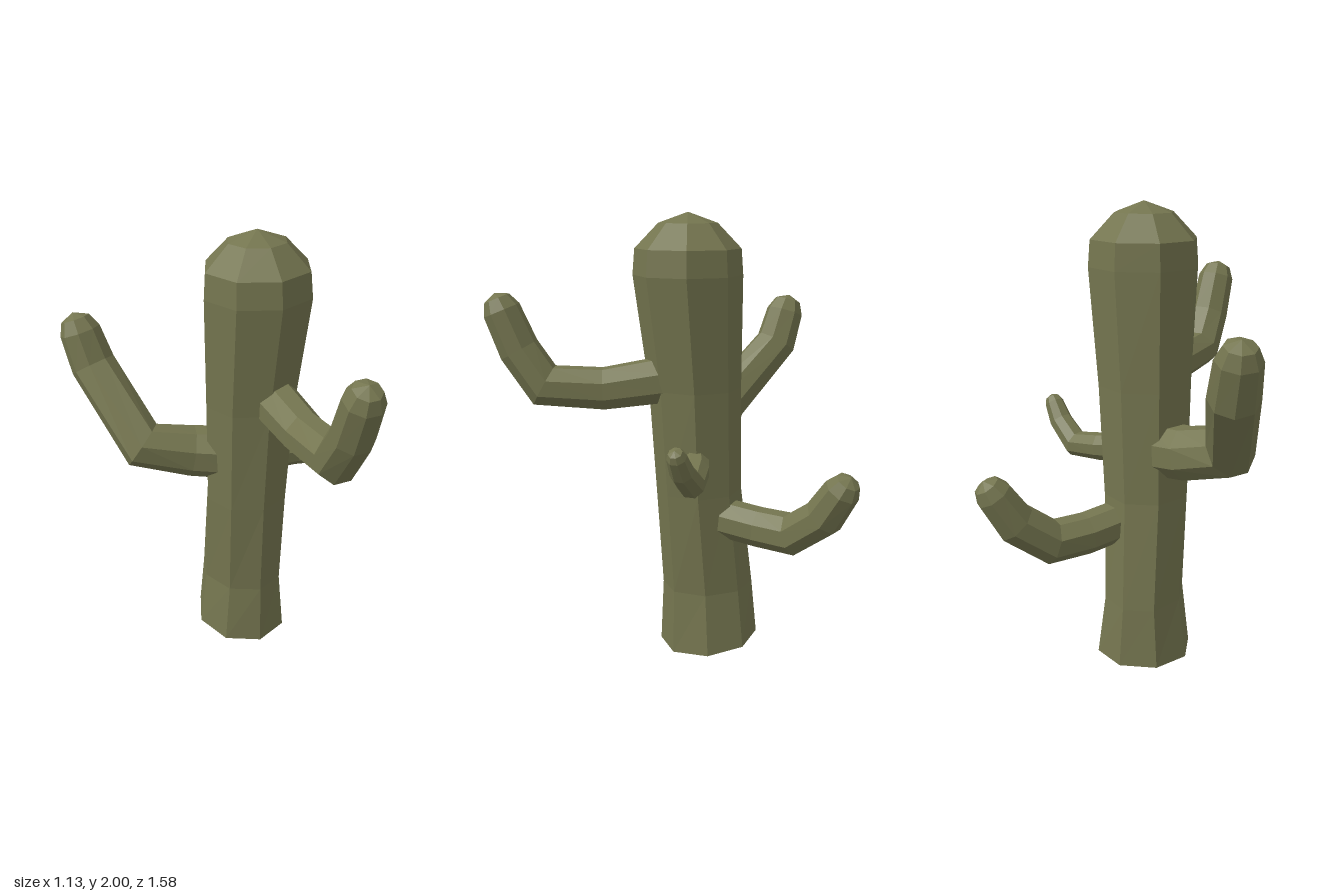
import * as THREE from 'three';

const SIDES = 8;
const V = (x, y, z) => new THREE.Vector3(x, y, z);
const material = new THREE.MeshStandardMaterial({ color: 0x74754f, flatShading: true });

// Skins a list of rings, closing the start with a flat cap and the end with an apex
function skin(rings, start, apex, name) {
  const points = [...rings.flat(), start, apex];
  const index = [];
  const iStart = points.length - 2, iApex = points.length - 1;
  const last = (rings.length - 1) * SIDES;
  for (let i = 0; i < SIDES; i++) {
    const j = (i + 1) % SIDES;
    for (let r = 0; r < last; r += SIDES) {
      const a = r + i, b = r + j, c = b + SIDES, d = a + SIDES;
      index.push(a, b, c, a, c, d);
    }
    index.push(iStart, j, i, last + i, last + j, iApex);
  }
  const geometry = new THREE.BufferGeometry().setFromPoints(points);
  geometry.setIndex(index);
  const flat = geometry.toNonIndexed();
  flat.computeVertexNormals();
  const mesh = new THREE.Mesh(flat, material);
  mesh.name = name;
  return mesh;
}

// Leaning trunk: each level is [centre x, y, centre z, radius x, radius z, tilt toward the back]
function makeTrunk() {
  const levels = [
    [-0.03, 0.02, -0.18, 0.213, 0.23, -0.09],
    [-0.03, 0.3, -0.172, 0.176, 0.212, 0],
    [-0.03, 0.77, -0.125, 0.188, 0.195, 0],
    [-0.02, 1.25, -0.1, 0.205, 0.205, 0],
    [-0.005, 1.74, -0.06, 0.237, 0.237, 0],
    [-0.005, 1.85, -0.06, 0.228, 0.228, 0],
    [-0.005, 1.955, -0.06, 0.126, 0.126, 0],
  ];
  const rings = levels.map(([x, y, z, rx, rz, tilt]) =>
    Array.from({ length: SIDES }, (_, i) => {
      const a = (27.5 * Math.PI) / 180 + (i / SIDES) * Math.PI * 2;
      const dz = rz * Math.cos(a);
      return V(x + rx * Math.sin(a), y + tilt * dz, z + dz);
    }));
  return skin(rings, V(-0.03, 0.02, -0.18), V(-0.005, 2, -0.06), 'trunk');
}

// Bent arm: stations are [x, y, z, radius], finished with a rounded tip
function makeArm(name, stations) {
  const path = stations.map(([x, y, z]) => V(x, y, z));
  const radii = stations.map((s) => s[3]);
  const n = path.length;
  const end = path[n - 1], endRadius = radii[n - 1];
  const tip = end.clone().sub(path[n - 2]).normalize();
  const centres = [...path, end.clone().addScaledVector(tip, endRadius * 0.65)];
  radii.push(endRadius * 0.7);

  // Keep the cross-section from twisting as the arm turns
  const side = V(0, 1, 0);
  const rings = centres.map((c, k) => {
    const into = k > 0 ? c.clone().sub(centres[k - 1]).normalize() : V(0, 0, 0);
    const out = k < n ? centres[k + 1].clone().sub(c).normalize() : V(0, 0, 0);
    const t = into.add(out).normalize();
    side.addScaledVector(t, -side.dot(t)).normalize();
    const u = side.clone();
    const v = t.clone().cross(u);
    return Array.from({ length: SIDES }, (_, i) => {
      const a = ((i + 0.5) / SIDES) * Math.PI * 2;
      return c.clone()
        .addScaledVector(u, radii[k] * Math.cos(a))
        .addScaledVector(v, radii[k] * Math.sin(a));
    });
  });
  return skin(rings, path[0], end.clone().addScaledVector(tip, endRadius * 0.95), name);
}

export function createModel() {
  const group = new THREE.Group();
  group.name = 'cactus';
  group.add(makeTrunk());

  group.add(makeArm('frontArm', [
    [-0.01, 1.29, 0.04, 0.105],
    [-0.08, 1.25, 0.3, 0.095],
    [-0.15, 1.265, 0.55, 0.1],
    [-0.185, 1.42, 0.65, 0.09],
    [-0.208, 1.59, 0.715, 0.083],
  ]));

  group.add(makeArm('rightBackArm', [
    [-0.1, 0.98, -0.17, 0.12],
    [-0.23, 1.0, -0.26, 0.115],
    [-0.42, 1.06, -0.365, 0.11],
    [-0.455, 1.36, -0.655, 0.1],
    [-0.473, 1.51, -0.705, 0.09],
  ]));

  group.add(makeArm('leftBackArm', [
    [0.08, 0.65, -0.22, 0.09],
    [0.19, 0.635, -0.34, 0.09],
    [0.31, 0.635, -0.45, 0.095],
    [0.43, 0.75, -0.54, 0.09],
    [0.5, 0.885, -0.585, 0.078],
  ]));

  group.add(makeArm('leftSmallArm', [
    [0.12, 0.935, -0.06, 0.065],
    [0.2, 0.925, -0.04, 0.062],
    [0.33, 0.91, 0.02, 0.06],
    [0.42, 0.995, 0.085, 0.052],
    [0.46, 1.07, 0.118, 0.043],
  ]));

  return group;
}
